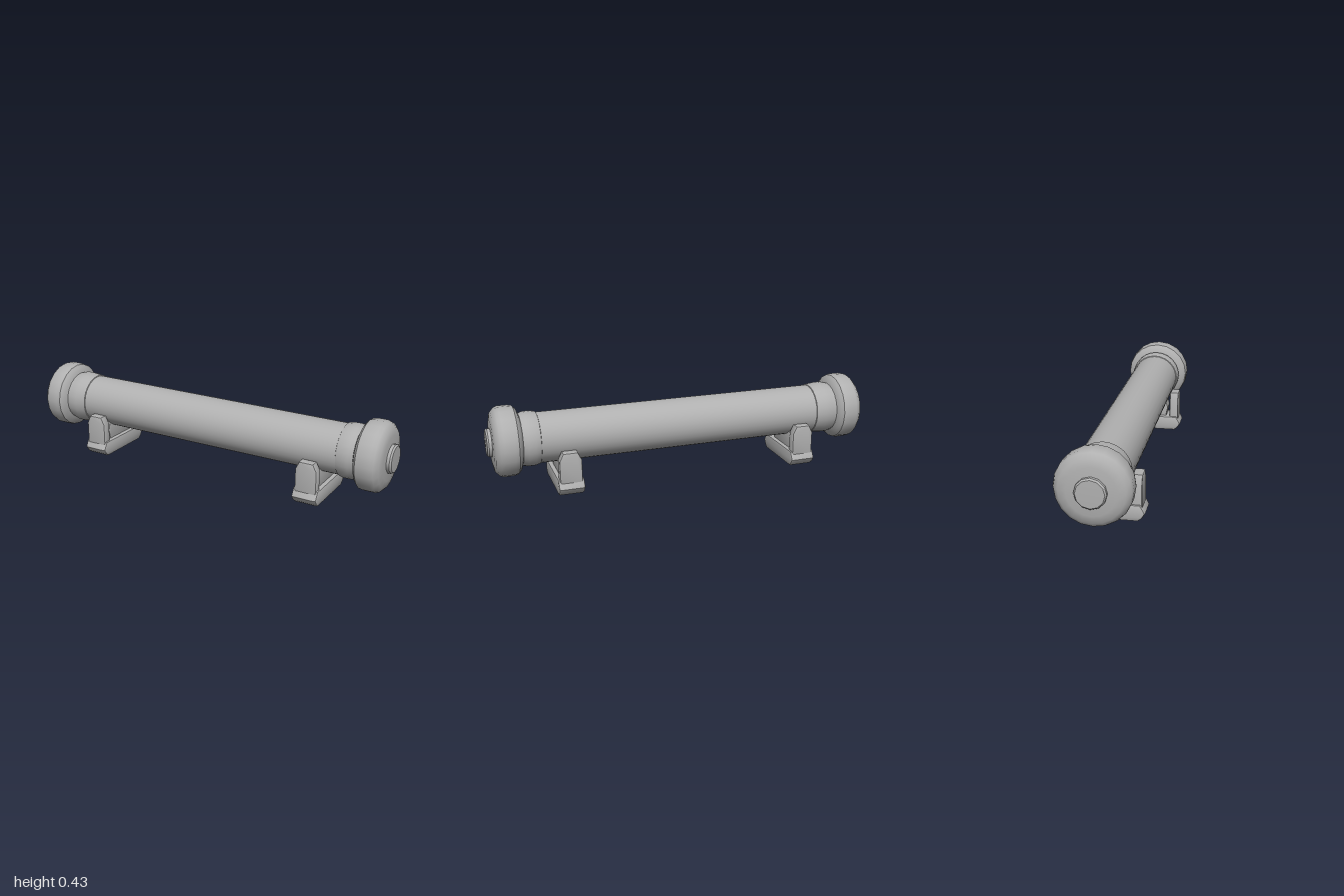
import * as THREE from 'three';
import { toCreasedNormals } from 'three/addons/utils/BufferGeometryUtils.js';

const AXIS_Y = 0.26;

export function createModel() {
  const model = new THREE.Group();
  model.name = 'tubeOnStands';
  const grey = new THREE.MeshStandardMaterial({ color: 0xb0b0b0 });
  grey.name = 'grey';

  const add = (parent, name, geometry, crease = 0.6) => {
    const mesh = new THREE.Mesh(toCreasedNormals(geometry, crease), grey);
    mesh.name = name;
    parent.add(mesh);
    return mesh;
  };

  // Surface turned round the x axis from [radius, x] pairs
  const turned = (pairs, sides) => new THREE.LatheGeometry(
    pairs.map(([r, x]) => new THREE.Vector2(r, x)), sides).rotateZ(-Math.PI / 2);

  // Softly bevelled prism centred on its depth
  const prism = (pairs, depth, bevel) => {
    const shape = new THREE.Shape(pairs.map(([x, y]) => new THREE.Vector2(x, y)));
    return new THREE.ExtrudeGeometry(shape, {
      depth: depth - 2 * bevel, bevelEnabled: true, bevelThickness: bevel,
      bevelSize: bevel, bevelOffset: -bevel, bevelSegments: 2,
    }).translate(0, 0, bevel - depth / 2);
  };

  // Main tube
  const tube = add(model, 'tube', new THREE.CylinderGeometry(0.126, 0.126, 1.62, 32, 1, true).rotateZ(Math.PI / 2));
  tube.position.y = AXIS_Y;

  // Collar, rounded cap and end boss on each end
  for (const side of [1, -1]) {
    const end = new THREE.Group();
    end.name = side > 0 ? 'leftEnd' : 'rightEnd';
    end.position.y = AXIS_Y;
    if (side < 0) end.rotation.y = Math.PI;
    const start = side > 0 ? 0.745 : 0.715;
    add(end, 'collar', turned([[0.12, start], [0.13, start + 0.005], [0.136, 0.775],
      [0.136, 0.81], [0.129, 0.835], [0.13, 0.86]], 24));
    add(end, 'cap', turned([[0.12, 0.832], [0.136, 0.838], [0.156, 0.847], [0.17, 0.86],
      [0.174, 0.88], [0.174, 0.93], [0.167, 0.948], [0.146, 0.967], [0.11, 0.974],
      [0, 0.978]], 20));
    add(end, 'endBoss', turned([[0.071, 0.96], [0.071, 0.99], [0.064, 0.998], [0, 1]], 12));
    model.add(end);
  }

  // Two stands: foot bar, saddle under the tube and a pair of side posts
  for (const x of [0.62, -0.62]) {
    const stand = new THREE.Group();
    stand.name = x > 0 ? 'leftStand' : 'rightStand';
    stand.position.x = x;

    const foot = [[0.145, 0], [0.163, 0.014], [0.178, 0.038], [0.172, 0.052], [0.155, 0.08]];
    const footOutline = [...foot, ...foot.map(([z, y]) => [-z, y]).reverse()];
    add(stand, 'foot', prism(footOutline, 0.13, 0.01).rotateY(Math.PI / 2));

    add(stand, 'saddle', prism([[-0.092, 0.07], [0.092, 0.07], [0.104, 0.13], [0.09, 0.175],
      [-0.09, 0.175], [-0.104, 0.13]], 0.085, 0.006).rotateY(Math.PI / 2));

    for (const z of [0.14, -0.14]) {
      const post = add(stand, z > 0 ? 'frontPost' : 'backPost', prism([[-0.056, 0.05], [0.056, 0.05],
        [0.056, 0.178], [0.036, 0.218], [-0.036, 0.218], [-0.056, 0.178]], 0.048, 0.008));
      post.position.z = z;
    }
    model.add(stand);
  }
  return model;
}
